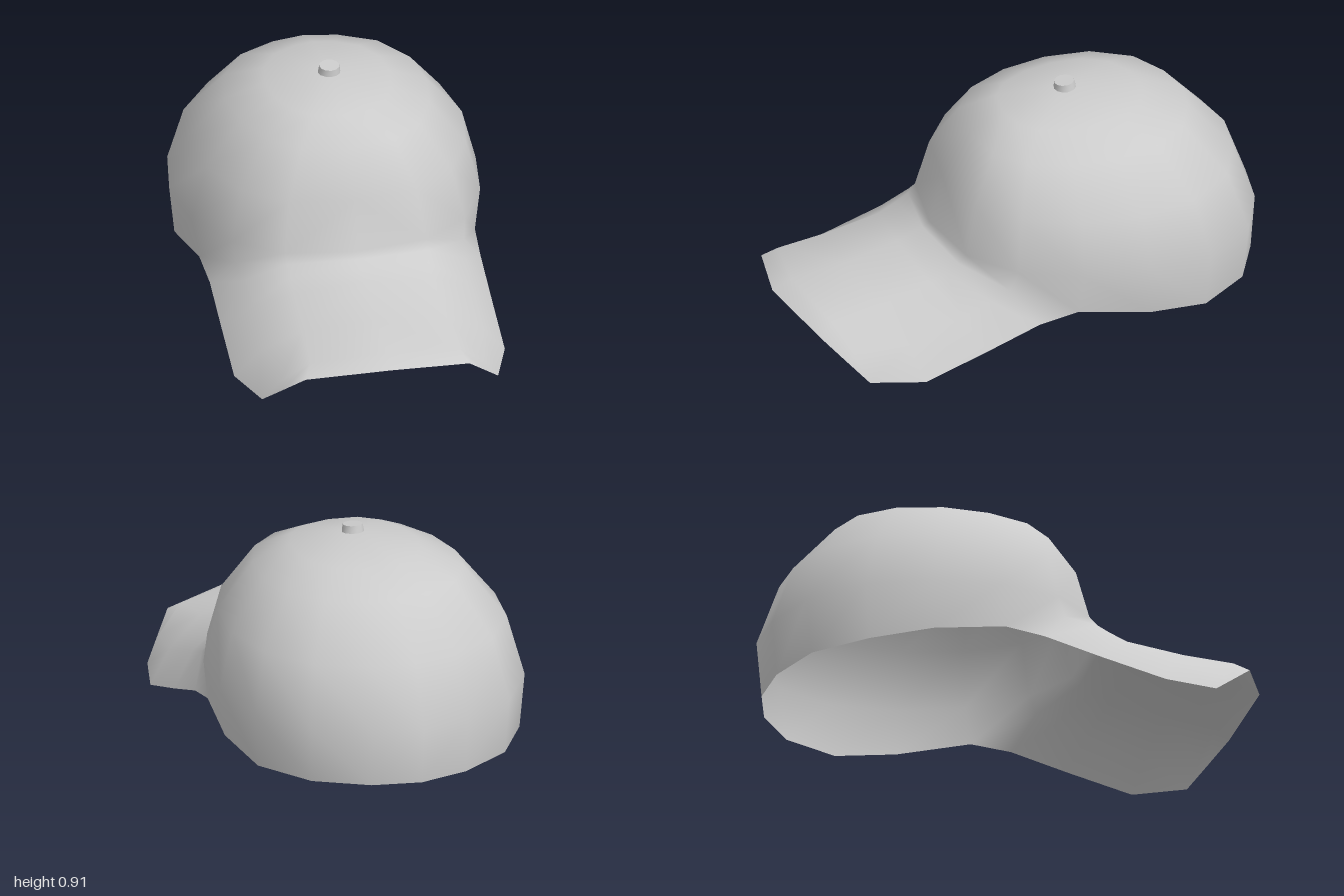
import * as THREE from 'three';
import { mergeVertices, toCreasedNormals } from 'three/addons/utils/BufferGeometryUtils.js';

// Crown rings from the top down: half width, front z, front y, back z, back y
const RINGS = [
  [0, -0.24, 0.89, -0.24, 0.89],
  [0.25, 0.03, 0.828, -0.55, 0.842],
  [0.405, 0.17, 0.757, -0.73, 0.772],
  [0.557, 0.28, 0.58, -0.91, 0.57],
  [0.617, 0.335, 0.38, -1.0, 0.32],
];

// Plan outline of a ring, front to back: x fraction, z fraction (1 = front)
const OUTLINE = [
  [0, 1], [0.46, 0.965], [0.76, 0.855], [0.94, 0.675], [1, 0.472],
  [0.925, 0.273], [0.68, 0.11], [0.325, 0.028], [0, 0],
];

// Lower rim of the crown; its first four points carry on into the visor
const RIM = [
  [0, 0.362, 0.365], [0.28, 0.345, 0.32], [0.46, 0.29, 0.17], [0.555, 0.19, -0.08],
  [0.596, 0.148, -0.37], [0.555, 0.108, -0.62], [0.41, 0.1, -0.83],
  [0.2, 0.094, -0.945], [0, 0.09, -0.98],
];

// Visor rows from the crown to the front edge, centre to side
const VISOR = [
  RIM.slice(0, 4),
  [[0, 0.343, 0.41], [0.28, 0.315, 0.37], [0.45, 0.25, 0.25], [0.545, 0.16, 0.08]],
  [[0, 0.318, 0.475], [0.28, 0.28, 0.44], [0.445, 0.2, 0.37], [0.545, 0.085, 0.3]],
  [[0, 0.267, 0.69], [0.29, 0.23, 0.66], [0.45, 0.125, 0.6], [0.545, 0.002, 0.56]],
  [[0, 0.245, 0.92], [0.3, 0.2, 0.86], [0.41, 0.1, 0.81], [0.475, 0.005, 0.77]],
  [[0, 0.21, 1.0], [0.33, 0.16, 0.92], [0.405, 0.08, 0.843], [0.475, 0.005, 0.77]],
];

// Mirrors a front-to-back half row for negative columns
const at = (row, c) => {
  const [x, y, z] = row[Math.abs(c)];
  return [c < 0 ? -x : x, y, z];
};

// Adds a sheet of quads over mirrored rows, with mirrored diagonals
function addSheet(out, rows, half) {
  for (let r = 0; r < rows.length - 1; r++) {
    for (let c = -half; c < half; c++) {
      const a = at(rows[r], c), b = at(rows[r + 1], c);
      const d = at(rows[r], c + 1), e = at(rows[r + 1], c + 1);
      const corners = c >= 0 ? [a, b, e, a, e, d] : [a, b, d, d, b, e];
      for (const p of corners) out.push(...p);
    }
  }
}

export function createModel() {
  const group = new THREE.Group();
  group.name = 'cap';
  const cloth = new THREE.MeshStandardMaterial({ color: 0xcccccc, side: THREE.DoubleSide });

  // Crown and visor share one welded skin so the shading runs across the join
  const rings = RINGS.map(([w, zf, yf, zb, yb]) => OUTLINE.map(([fx, t]) =>
    [w * fx, yb + (yf - yb) * t, zb + (zf - zb) * t]));
  const points = [];
  addSheet(points, [...rings, RIM], 8);
  const crownCount = points.length / 3;
  addSheet(points, VISOR, 3);

  let skin = new THREE.BufferGeometry();
  skin.setAttribute('position', new THREE.Float32BufferAttribute(points, 3));
  skin = mergeVertices(skin, 1e-4);
  skin.computeVertexNormals();

  const index = Array.from(skin.index.array);
  const addPart = (name, part) => {
    const geometry = skin.clone();
    geometry.setIndex(part);
    const mesh = new THREE.Mesh(geometry, cloth);
    mesh.name = name;
    group.add(mesh);
  };
  addPart('crown', index.slice(0, crownCount));
  addPart('visor', index.slice(crownCount));

  // Button on top
  const button = new THREE.Mesh(
    toCreasedNormals(new THREE.CylinderGeometry(0.04, 0.045, 0.03, 12), 0.7),
    new THREE.MeshStandardMaterial({ color: 0xcccccc })
  );
  button.name = 'topButton';
  button.position.set(0, 0.895, -0.235);
  button.rotation.x = 0.1;
  group.add(button);

  return group;
}
